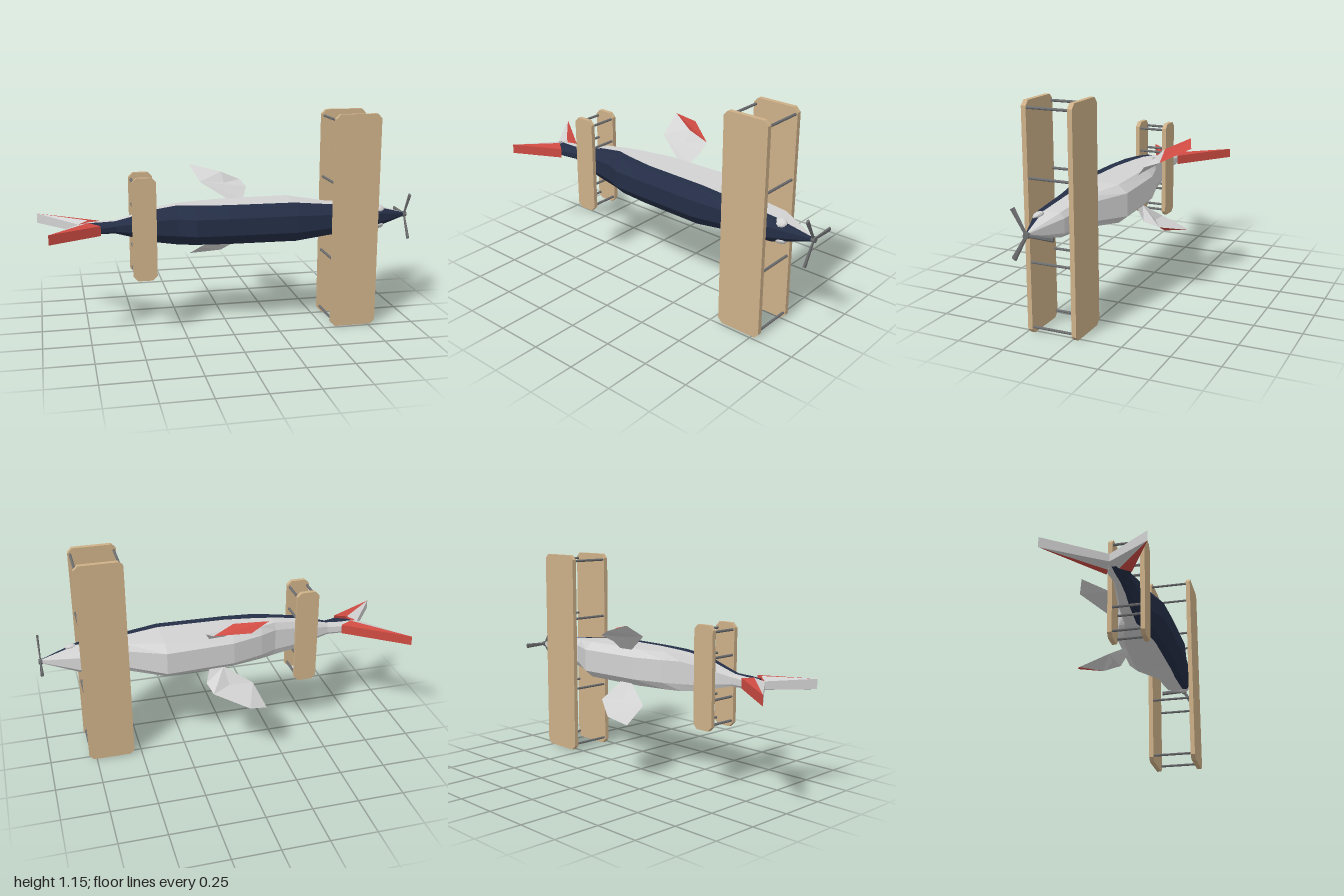
import * as THREE from 'three';

const mat = (name, color) => {
  const m = new THREE.MeshStandardMaterial({ color, side: THREE.DoubleSide, flatShading: true });
  m.name = name;
  return m;
};
const CY = 0.58; // height of the body axis

export function createModel() {
  const model = new THREE.Group();
  model.name = 'fishBiplane';
  const navy = mat('navy', 0x242e46), pale = mat('paleGrey', 0xd2d2d2), red = mat('red', 0xce4b42);
  const tan = mat('tan', 0xcdb088), steel = mat('steelGrey', 0x6c6d6f);

  const add = (name, geo, material, parent = model) => {
    const m = new THREE.Mesh(geo, material);
    m.name = name;
    parent.add(m);
    return m;
  };
  // flat faces, each a convex loop of [x, y, z] corners
  const faces = (name, polys, material, parent) => {
    const pos = [];
    for (const p of polys)
      for (let i = 1; i < p.length - 1; i++) pos.push(...p[0], ...p[i], ...p[i + 1]);
    const g = new THREE.BufferGeometry();
    g.setAttribute('position', new THREE.Float32BufferAttribute(pos, 3));
    g.computeVertexNormals();
    return add(name, g, material, parent);
  };

  // body sections, nose to tail: x, belly z, colour line z, back z, half width
  const sections = [
    [0.985, 0.1, 0.107, 0.115, 0.01],
    [0.79, 0.02, 0.13, 0.185, 0.06],
    [0.55, 0.01, 0.13, 0.2, 0.08],
    [0.35, -0.1, 0.14, 0.225, 0.1],
    [-0.02, -0.08, 0.13, 0.218, 0.1],
    [-0.19, -0.03, 0.105, 0.21, 0.1],
    [-0.28, 0.01, 0.085, 0.172, 0.1],
    [-0.42, 0.02, 0.085, 0.155, 0.08],
    [-0.52, 0.035, 0.085, 0.143, 0.05],
    [-0.6, 0.045, 0.08, 0.13, 0.03],
    [-0.68, 0.033, 0.075, 0.153, 0.026],
    [-0.75, 0.06, 0.075, 0.11, 0.026],
  ];
  const rings = sections.map(([x, lo, mid, hi, w]) => {
    const half = [[0.45 * w, hi], [w, hi - 0.5 * (hi - mid)], [w, mid], [w, lo + 0.2 * (mid - lo)], [0.6 * w, lo]];
    return [...half.map(([y, z]) => [x, CY + y, z]),
      ...half.slice().reverse().map(([y, z]) => [x, CY - y, z])];
  });
  const back = [], belly = [rings[0]];
  for (let i = 0; i < rings.length - 1; i++)
    for (let j = 0; j < 10; j++) {
      const k = (j + 1) % 10;
      (j < 2 || j > 6 ? back : belly).push([rings[i][j], rings[i][k], rings[i + 1][k], rings[i + 1][j]]);
    }
  faces('bodyBack', back, navy);
  faces('bodyBelly', belly, pale);

  // forked tail: red leading strip, pale trailing strip
  const lobe = (name, lead, tip, mid, notch) => {
    const g = new THREE.Group();
    g.name = name;
    model.add(g);
    const at = ([x, z, h], s) => [x, CY + s * h, z];
    const wall = (a, b) => [at(a, 1), at(b, 1), at(b, -1), at(a, -1)];
    const strip = (a, b, c) => [1, -1].map((s) => [at(a, s), at(b, s), at(c, s)]);
    faces('leadingStrip', [wall(lead, tip), ...strip(lead, tip, mid)], red, g);
    faces('trailingStrip', [wall(tip, notch), ...strip(mid, tip, notch)], pale, g);
  };
  const notch = [-0.79, 0.075, 0.02];
  lobe('backTailLobe', [-0.68, 0.155, 0.026], [-0.945, 0.29, 0.026], [-0.74, 0.11, 0.035], notch);
  lobe('bellyTailLobe', [-0.68, 0.033, 0.026], [-1, -0.2, 0.026], [-0.74, 0.055, 0.035], notch);

  // belly fins, one on each side
  const finCorners = [
    [-0.155, 0.26, -0.25], [-0.05, 0.225, -0.29], [0.12, 0.175, -0.18], [0.01, 0.225, -0.165],
    [-0.12, 0.185, -0.1], [0.03, 0.09, -0.045], [0.11, 0.09, -0.05], [0.14, 0.148, -0.1],
  ];
  for (const s of [1, -1]) {
    const p = finCorners.map(([x, y, z]) => [x, CY + s * y, z]);
    const pick = (loops) => loops.map((l) => {
      const c = l.map((i) => p[i]);
      return s > 0 ? c : c.reverse();
    });
    const g = new THREE.Group();
    g.name = s > 0 ? 'upperFin' : 'lowerFin';
    model.add(g);
    faces('finTip', pick([[0, 3, 2, 1]]), red, g);
    faces('finBlade', pick([
      [4, 3, 0], [4, 5, 3], [5, 2, 3], [5, 7, 2], [5, 6, 7],
      [4, 0, 1], [4, 6, 5], [4, 7, 6], [4, 2, 7], [4, 1, 2],
    ]), pale, g);
  }

  // paired wing plates with clipped corners, joined by struts
  const wingPair = (name, x0, x1, y0, y1, plates, strutYs, t) => {
    const g = new THREE.Group();
    g.name = name;
    model.add(g);
    const c = 0.024;
    const outline = [[x0 + c, y0], [x1 - c, y0], [x1, y0 + c], [x1, y1 - c],
      [x1 - c, y1], [x0 + c, y1], [x0, y1 - c], [x0, y0 + c]];
    const shape = new THREE.Shape(outline.map(([x, y]) => new THREE.Vector2(x, y)));
    for (const z of plates)
      add('wingPlate', new THREE.ExtrudeGeometry(shape, { depth: t, bevelEnabled: false }), tan, g).position.z = z;
    const z0 = plates[0] + t, z1 = plates[1];
    for (const x of [x0 + 0.012, x1 - 0.012])
      for (const y of strutYs) {
        const strut = add('strut', new THREE.CylinderGeometry(0.007, 0.007, z1 - z0, 8), steel, g);
        strut.rotation.x = Math.PI / 2;
        strut.position.set(x, y, (z0 + z1) / 2);
      }
  };
  wingPair('mainWings', 0.54, 0.79, 0, 1.155, [-0.03, 0.21], [0.035, 0.37, 0.787, 1.122], 0.025);
  wingPair('rearWings', -0.52, -0.395, 0.307, 0.851, [-0.005, 0.16], [0.34, 0.468, 0.685, 0.817], 0.023);

  // faceted eyes
  for (const s of [1, -1]) {
    const eye = add('eye', new THREE.IcosahedronGeometry(0.03, 1), pale);
    eye.scale.set(1.1, 0.6, 0.95);
    eye.rotation.x = s * 0.5;
    eye.position.set(0.825, CY + s * 0.047, 0.138);
  }

  // three-bladed propeller
  const propeller = new THREE.Group();
  propeller.name = 'propeller';
  propeller.position.set(0.99, CY, 0.105);
  model.add(propeller);
  add('hub', new THREE.CylinderGeometry(0.016, 0.016, 0.02, 8), steel, propeller).rotation.z = Math.PI / 2;
  for (let i = 0; i < 3; i++) {
    const arm = new THREE.Group();
    arm.name = 'bladeArm';
    arm.rotation.x = (i * Math.PI * 2) / 3;
    propeller.add(arm);
    const blade = add('blade', new THREE.CylinderGeometry(0.014, 0.008, 0.14, 6), steel, arm);
    blade.scale.x = 0.5;
    blade.rotation.x = -Math.PI / 2;
    blade.position.z = -0.07;
  }
  return model;
}
